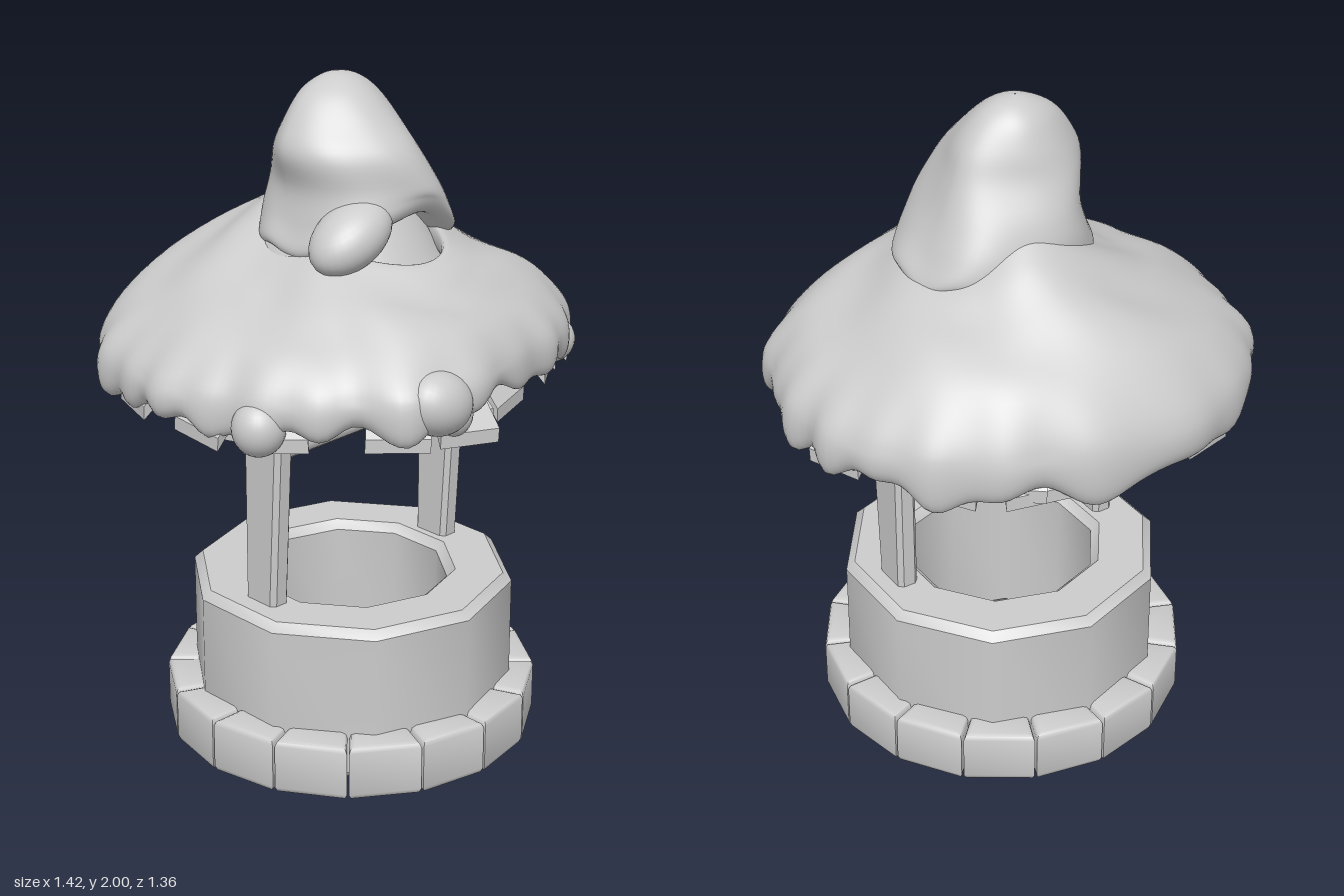
import * as THREE from 'three';
import { toCreasedNormals } from 'three/addons/utils/BufferGeometryUtils.js';

const TAU = Math.PI * 2;
const CZ = 0.035; // the masonry sits slightly forward
const mat = new THREE.MeshStandardMaterial({ color: 0xcccccc });
const matDouble = new THREE.MeshStandardMaterial({ color: 0xcccccc, side: THREE.DoubleSide });

function add(parent, name, geo, m = mat) {
  const mesh = new THREE.Mesh(geo, m);
  mesh.name = name;
  parent.add(mesh);
  return mesh;
}

// Catmull-Rom through plain numbers, t in 0..1
function spline(a, t, closed) {
  const n = a.length, p = t * (closed ? n : n - 1);
  const i = Math.min(Math.floor(p), closed ? n : n - 2), f = p - i;
  const at = k => a[closed ? (k + n) % n : Math.max(0, Math.min(n - 1, k))];
  const [p0, p1, p2, p3] = [at(i - 1), at(i), at(i + 1), at(i + 2)];
  return p1 + 0.5 * f * (p2 - p0 + f * (2 * p0 - 5 * p1 + 4 * p2 - p3 + f * (3 * (p1 - p2) + p3 - p0)));
}

// Smooth skin over rings; rings run clockwise seen from above
function skin(rows, cols, closeRows, point) {
  const pos = [], idx = [];
  for (let i = 0; i < rows; i++)
    for (let j = 0; j < cols; j++)
      pos.push(...point(closeRows ? i / rows : i / (rows - 1), j / cols));
  for (let i = 0; i < (closeRows ? rows : rows - 1); i++)
    for (let j = 0; j < cols; j++) {
      const i2 = (i + 1) % rows, j2 = (j + 1) % cols;
      const a = i * cols + j, b = i * cols + j2, c = i2 * cols + j, d = i2 * cols + j2;
      idx.push(a, b, c, b, d, c);
    }
  const g = new THREE.BufferGeometry();
  g.setAttribute('position', new THREE.Float32BufferAttribute(pos, 3));
  g.setIndex(idx);
  g.computeVertexNormals();
  return g;
}

const bump = (u, center, width) => {
  const d = Math.abs(((u - center) % 1 + 1.5) % 1 - 0.5);
  return Math.exp(-(d * d) / (width * width));
};

// Outline of the snow skirt seen from above, every 15 degrees from +x towards +z
const RIM = [0.70, 0.69, 0.685, 0.65, 0.61, 0.60, 0.625, 0.67, 0.71, 0.66, 0.68, 0.66,
  0.70, 0.70, 0.71, 0.71, 0.70, 0.69, 0.67, 0.66, 0.67, 0.67, 0.695, 0.70];

function snowSkirt() {
  // fraction of reach and of height across the closed section
  const reach = [0, 0.16, 0.34, 0.55, 0.77, 0.93, 1, 1, 0.95, 0.89, 0.78, 0.5, 0.2, 0];
  const rise = [1, 0.91, 0.77, 0.63, 0.45, 0.24, 0.06, -0.12, -0.21, -0.15, 0.05, 0.38, 0.66, 0.8];
  return skin(56, 180, true, (v, u) => {
    const a = u * TAU;
    const front = bump(u, 0.25, 0.12), back = bump(u, 0.78, 0.12), left = bump(u, 0.5, 0.11);
    const e = spline(reach, v, true), h = spline(rise, v, true);
    const rim = Math.max(0, (e - 0.6) / 0.4) ** 2;
    const wave = 0.6 * Math.sin(13 * a + 2 * Math.sin(3 * a)) + 0.5 * Math.sin(22 * a + 3 * Math.sin(2 * a) + 1);
    const R = spline(RIM, u, true) + 0.013 * wave * rim;
    const rIn = 0.22 + 0.11 * front - 0.04 * back;
    const top = 1.57 - 0.11 * front + 0.1 * back - 0.05 * left;
    let y = 1.2 + h * (top - 1.2) + 0.05 * front;
    if (h < 0.1) y -= rim * (0.1 - h) * (0.1 * wave + 0.07 * Math.sin(9 * a + 2));
    y += 0.012 * Math.sin(5 * a + 7 * e) * Math.sin(Math.PI * THREE.MathUtils.clamp(e, 0, 1));
    const r = rIn + e * (R - rIn);
    return [r * Math.cos(a), y, r * Math.sin(a)];
  });
}

function snowCap() {
  const Y = [2.0, 1.988, 1.95, 1.88, 1.8, 1.7, 1.61, 1.54, 1.52, 1.58];
  const left = [0.031, 0.08, 0.145, 0.2, 0.235, 0.215, 0.235, 0.26, 0.23, 0.15];
  const right = [-0.029, 0.03, 0.085, 0.14, 0.175, 0.225, 0.28, 0.325, 0.29, 0.15];
  const back = [0.001, 0.045, 0.09, 0.125, 0.155, 0.205, 0.23, 0.22, 0.19, 0.15];
  const front = [0.001, 0.05, 0.11, 0.18, 0.25, 0.285, 0.29, 0.28, 0.24, 0.15];
  return skin(46, 72, false, (v, u) => {
    const a = u * TAU, c = Math.cos(a), s = Math.sin(a);
    const xr = spline(right, v), xl = spline(left, v);
    const cx = (xr - xl) / 2, rx = (xr + xl) / 2;
    const rz = spline(s > 0 ? front : back, v);
    const low = THREE.MathUtils.smoothstep(v, 0.5, 0.78);
    const lump = 1 + 0.04 * Math.sin(v * Math.PI) * Math.sin(4 * a + 6 * v);
    const y = spline(Y, v) + low * (0.115 * bump(u, 0.27, 0.1) + 0.012 * Math.sin(6 * a));
    return [cx + rx * c * lump, y, rz * s * lump];
  });
}

// Rounded lump of snow
function blob(parent, x, y, z, sx, sy, sz, tilt = 0) {
  const m = add(parent, 'snowLump', new THREE.SphereGeometry(1, 28, 18));
  m.position.set(x, y, z);
  m.scale.set(sx, sy, sz);
  m.rotation.z = tilt;
}

const polygon = (n, r, path) => {
  path.setFromPoints(Array.from({ length: n }, (_, i) => {
    const a = Math.PI / 2 + i / n * TAU;
    return new THREE.Vector2(r * Math.cos(a), r * Math.sin(a));
  }));
  path.closePath();
  return path;
};

function extrude(shape, depth, bevel, bevelSegments = 2) {
  return new THREE.ExtrudeGeometry(shape, {
    depth: depth - 2 * bevel, bevelSize: bevel, bevelThickness: bevel, bevelOffset: -bevel, bevelSegments,
  }).translate(0, 0, bevel);
}

export function createModel() {
  const model = new THREE.Group();
  model.name = 'well';

  // Ring of sixteen bevelled foot stones
  const stones = new THREE.Group();
  stones.name = 'baseStones';
  model.add(stones);
  const half = Math.PI / 16 - 0.006;
  const corner = (r, a) => new THREE.Vector2(r * Math.cos(a), r * Math.sin(a));
  const wedge = new THREE.Shape([corner(0.40, -half), corner(0.558, -half), corner(0.558, half), corner(0.40, half)]);
  const stoneGeo = toCreasedNormals(extrude(wedge, 0.17, 0.018).rotateX(-Math.PI / 2), 0.9);
  for (let i = 0; i < 16; i++) {
    const s = add(stones, 'baseStone', stoneGeo);
    s.rotation.y = (i + 0.5) / 16 * TAU;
    s.position.set(-0.007, 0.005, CZ);
  }

  // Ten-sided wall with an open shaft
  const wall = polygon(10, 0.485, new THREE.Shape());
  wall.holes.push(polygon(10, 0.29, new THREE.Path()));
  add(model, 'wall', toCreasedNormals(extrude(wall, 0.48, 0.025, 1).rotateX(-Math.PI / 2), 0.68))
    .position.set(-0.005, 0.02, CZ);

  // Posts, widening towards the top
  const side = new THREE.Shape([[-0.015, 0.4], [-0.015, 1.32], [0.152, 1.32], [0.102, 0.4]].map(p => new THREE.Vector2(...p)));
  const postGeo = extrude(side, 0.066, 0.014, 1).rotateY(-Math.PI / 2).translate(0.033, 0, 0);
  for (const [name, x] of [['rightPost', -0.357], ['leftPost', 0.352]]) add(model, name, postGeo).position.x = x;

  // Crossbar
  const bar = add(model, 'crossbar', new THREE.CylinderGeometry(0.035, 0.025, 0.68, 10));
  bar.rotation.z = Math.PI / 2;
  bar.position.set(0, 0.958, 0.055);

  const roof = new THREE.Group();
  roof.name = 'roof';
  model.add(roof);

  // Bell-shaped roof core
  const core = [[0.47, 1.265], [0.38, 1.34], [0.31, 1.42], [0.26, 1.5], [0.19, 1.63], [0.08, 1.78], [0.01, 1.82]];
  add(roof, 'roofCore', new THREE.LatheGeometry(core.map(p => new THREE.Vector2(...p)), 40), matDouble);

  // Fanned planks lying on the core, wider and slightly uneven at the eaves
  const planks = new THREE.Group();
  planks.name = 'planks';
  roof.add(planks);
  for (let i = 0; i < 20; i++) {
    const g = new THREE.BoxGeometry(1, 0.04, 1);
    const p = g.attributes.position;
    const end = spline(RIM, i / 20, true) - 0.045 + 0.012 * Math.sin(i * 2.4);
    for (let k = 0; k < p.count; k++) {
      const outer = p.getX(k) > 0;
      p.setXYZ(k, outer ? end : 0.31, p.getY(k) + (outer ? 1.115 : 1.425), p.getZ(k) * (outer ? 0.18 : 0.08));
    }
    g.computeVertexNormals();
    const m = add(planks, 'plank', g);
    m.rotation.set(0.08 * Math.sin(i * 1.7), -i / 20 * TAU, 0, 'YXZ');
    m.position.y = 0.01 * Math.sin(i * 3.1);
  }

  // Snow cover
  const snow = new THREE.Group();
  snow.name = 'snow';
  roof.add(snow);
  add(snow, 'snowSkirt', snowSkirt());
  add(snow, 'snowCap', snowCap());
  blob(snow, -0.165, 1.59, 0.195, 0.14, 0.085, 0.1, 0.5); // lobe under the cap
  blob(snow, -0.235, 1.23, 0.6, 0.11, 0.09, 0.085, -0.35); // drooping lump at the front
  blob(snow, -0.17, 1.18, 0.59, 0.06, 0.065, 0.06);
  blob(snow, -0.58, 1.16, 0.27, 0.075, 0.08, 0.075);
  blob(snow, 0.5, 1.17, 0.36, 0.075, 0.07, 0.07);
  return model;
}
